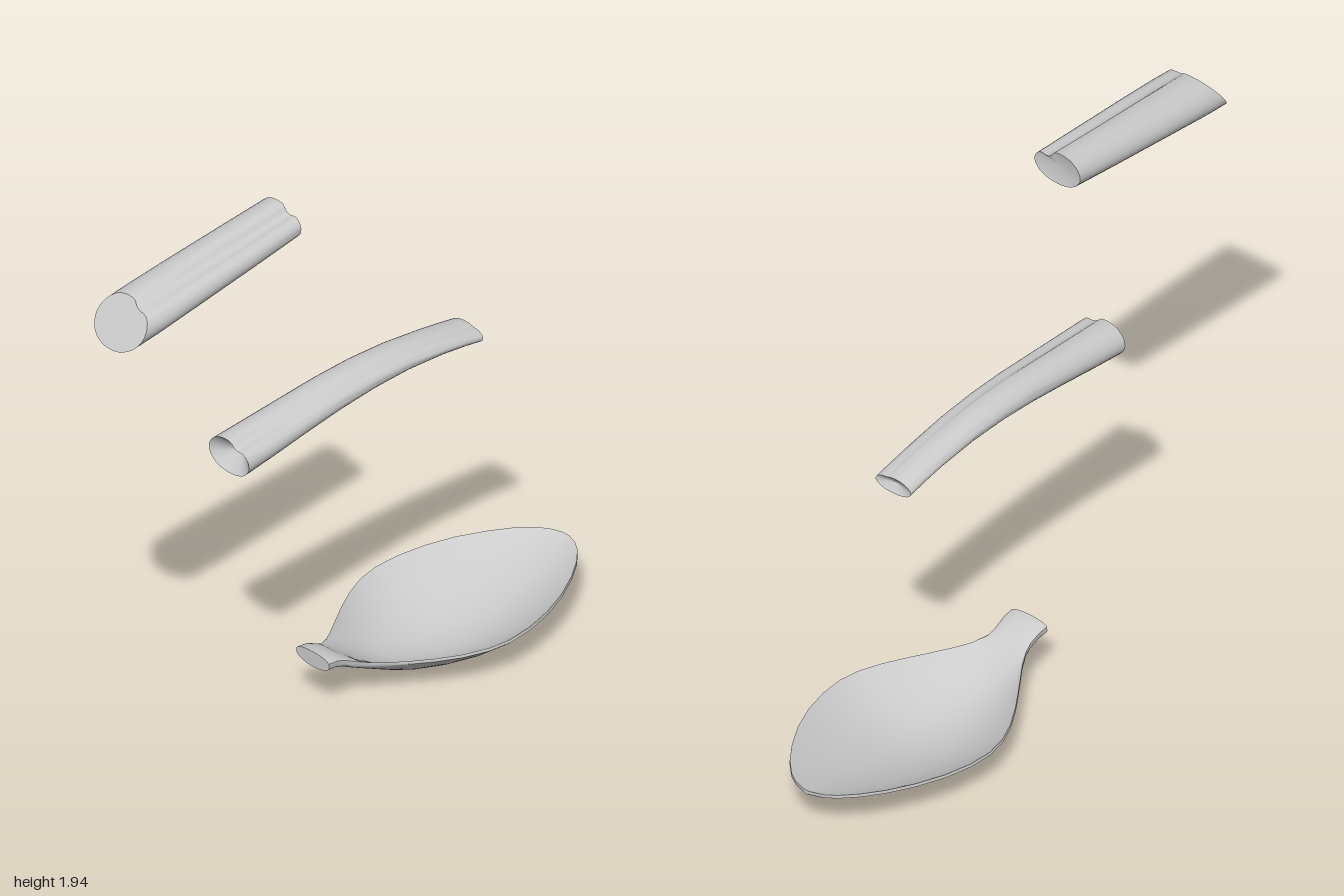
import * as THREE from 'three';
import { toCreasedNormals } from 'three/addons/utils/BufferGeometryUtils.js';

const material = new THREE.MeshStandardMaterial({ color: 0xcccccc });

// Skin a row of closed rings (front to back, anticlockwise seen from +z) and cap both ends
function loft(name, rings, frontDent = 0, backDent = 0) {
  const n = rings[0].length, last = (rings.length - 1) * n;
  const points = rings.flat(), index = [];
  for (let i = 0; i < last; i += n) {
    for (let j = 0; j < n; j++) {
      const k = (j + 1) % n;
      const a = i + j, b = i + k, c = i + n + k, d = i + n + j;
      index.push(a, d, b, b, d, c);
    }
  }
  const addCap = (start, dent, flip) => {
    const centre = new THREE.Vector3();
    for (let j = 0; j < n; j++) centre.addScaledVector(points[start + j], 1 / n);
    centre.z += dent;
    const hub = points.push(centre) - 1;
    for (let j = 0; j < n; j++) {
      const a = start + j, b = start + (j + 1) % n;
      index.push(hub, flip ? b : a, flip ? a : b);
    }
  };
  addCap(0, frontDent, false);
  addCap(last, backDent, true);
  const geometry = new THREE.BufferGeometry().setFromPoints(points);
  geometry.setIndex(index);
  const mesh = new THREE.Mesh(toCreasedNormals(geometry, 0.6), material);
  mesh.name = name;
  return mesh;
}

// Handle cross-section: a rounded shape with a groove at its upper right
const grooved = [
  [0, -1], [0.4, -0.93], [0.76, -0.68], [0.97, -0.3], [1, 0.05], [0.9, 0.38], [0.72, 0.56],
  [0.45, 0.5], [0.28, 0.62], [0.12, 0.92], [-0.1, 1], [-0.5, 0.92], [-0.8, 0.63],
  [-0.97, 0.25], [-0.99, -0.2], [-0.76, -0.68], [-0.4, -0.93],
];
const outline = new THREE.CatmullRomCurve3(
  grooved.map(([x, y]) => new THREE.Vector3(x, y, 0)), true).getPoints(40).slice(0, -1);

// Each station: z, half width, bottom y, top y, groove depth 0..1, backward lean of the top
const handleRing = ([z, w, bottom, top, groove, lean = 0]) => outline.map((p) => {
  const round = Math.sqrt(Math.max(0, 1 - p.x * p.x));
  const y = p.y > 0 && p.x > 0 ? THREE.MathUtils.lerp(Math.max(p.y, round), p.y, groove) : p.y;
  const t = (y + 1) / 2;
  return new THREE.Vector3(p.x * w, THREE.MathUtils.lerp(bottom, top, t), z - lean * t);
});

// Each station: z, half width, edge y, bottom y, top centre y, roundness exponent
const bowlRing = ([z, w, edge, bottom, top, power]) => {
  const ring = [], count = 48;
  for (let j = 0; j < count; j++) {
    const a = (j / count) * Math.PI * 2, s = Math.sin(a);
    const bulge = Math.pow(s * s, power);
    const lip = s > 0 ? 0.012 * Math.min(1, s * 8) : 0;
    const centre = s > 0 ? top - lip : bottom;
    ring.push(new THREE.Vector3(Math.cos(a) * w, edge + lip + (centre - edge) * bulge, z));
  }
  return ring;
};

export function createModel() {
  const model = new THREE.Group();
  model.name = 'brokenSpoon';

  // Handle end, cut on a slant at the front
  model.add(loft('handleEnd', [
    [1.0, 0.108, 1.72, 1.87, 0.5, 0.1],
    [0.9, 0.11, 1.733, 1.878, 0.6, 0.07],
    [0.7, 0.106, 1.76, 1.896, 0.8, 0.03],
    [0.45, 0.099, 1.793, 1.92, 1, 0.01],
    [0.25, 0.092, 1.82, 1.94, 1],
  ].map(handleRing), 0, 0.015));

  // Arched middle of the handle with hollowed breaks
  model.add(loft('handleMiddle', [
    [0.475, 0.09, 1.033, 1.155, 0.7, -0.005],
    [0.35, 0.087, 1.05, 1.165, 0.7],
    [0.2, 0.082, 1.072, 1.178, 0.7],
    [0.05, 0.078, 1.092, 1.19, 0.6],
    [-0.1, 0.075, 1.106, 1.194, 0.5],
    [-0.25, 0.072, 1.11, 1.187, 0.4],
    [-0.4, 0.07, 1.102, 1.168, 0.3],
    [-0.5, 0.07, 1.09, 1.152, 0.3],
    [-0.568, 0.071, 1.08, 1.138, 0.3],
  ].map(handleRing), -0.06, 0.02));

  // Bowl with the stub of the neck
  model.add(loft('bowl', [
    [0.11, 0.073, 0.182, 0.157, 0.212, 0.5],
    [0.07, 0.072, 0.178, 0.153, 0.206, 0.5],
    [0.03, 0.07, 0.162, 0.138, 0.186, 0.5],
    [0, 0.076, 0.148, 0.122, 0.164, 0.55],
    [-0.05, 0.102, 0.136, 0.098, 0.128, 0.7],
    [-0.1, 0.135, 0.13, 0.074, 0.098, 0.85],
    [-0.16, 0.175, 0.127, 0.045, 0.067, 1],
    [-0.22, 0.214, 0.126, 0.024, 0.046, 1],
    [-0.3, 0.259, 0.127, 0.009, 0.031, 1],
    [-0.38, 0.291, 0.13, 0.002, 0.024, 1],
    [-0.46, 0.305, 0.133, 0.004, 0.026, 1],
    [-0.55, 0.3, 0.137, 0.016, 0.038, 1],
    [-0.65, 0.278, 0.142, 0.038, 0.06, 1],
    [-0.75, 0.24, 0.147, 0.064, 0.086, 1],
    [-0.84, 0.191, 0.15, 0.092, 0.113, 1],
    [-0.91, 0.142, 0.153, 0.116, 0.136, 1],
    [-0.96, 0.094, 0.154, 0.134, 0.152, 1],
    [-0.985, 0.057, 0.154, 0.144, 0.16, 1],
    [-1, 0.012, 0.154, 0.15, 0.165, 1],
  ].map(bowlRing)));

  return model;
}
